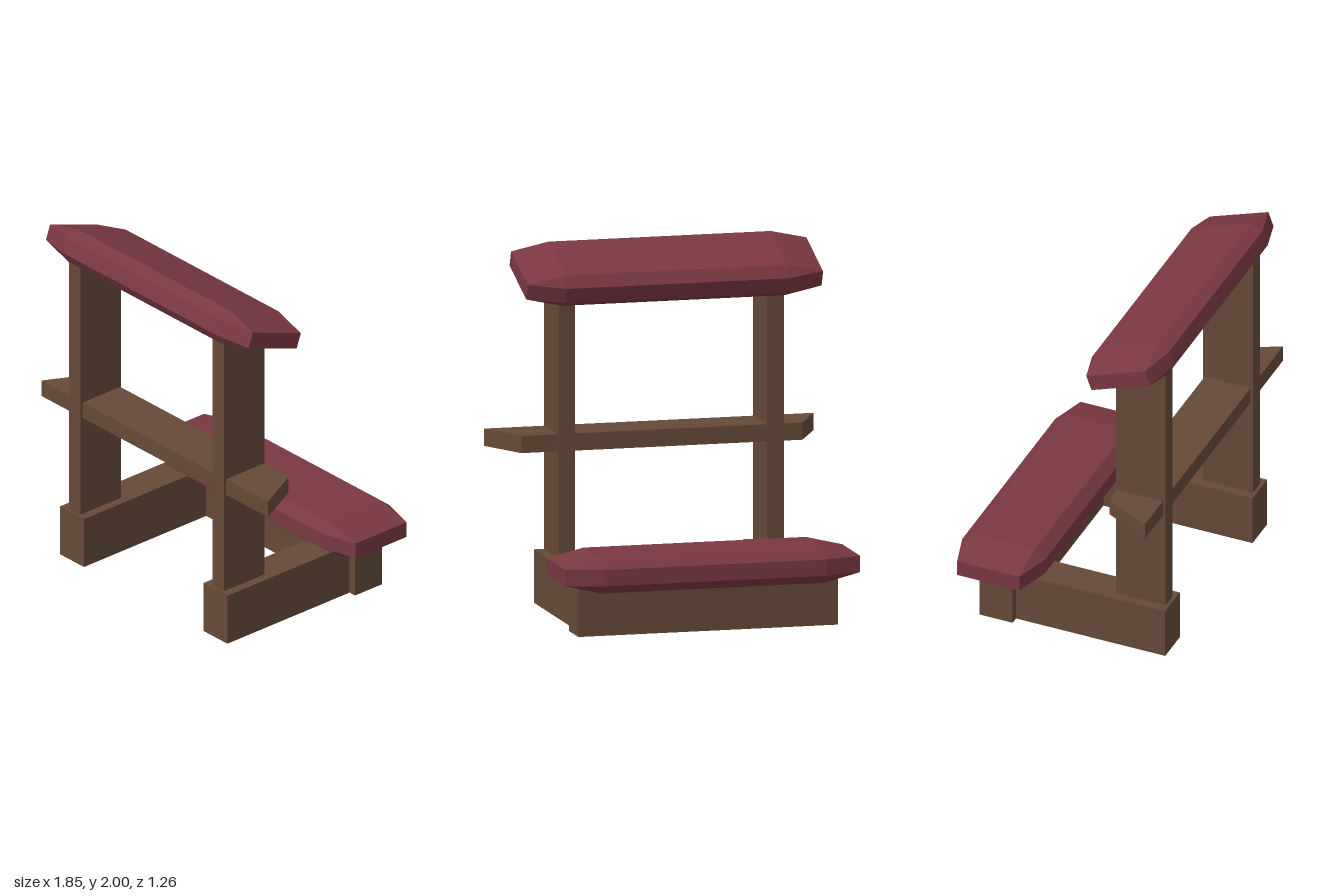
import * as THREE from 'three';
import { ConvexGeometry } from 'three/addons/geometries/ConvexGeometry.js';

const wood = new THREE.MeshStandardMaterial({ color: 0x654a37, flatShading: true });
wood.name = 'brown wood';
const cushion = new THREE.MeshStandardMaterial({ color: 0x7a3841, flatShading: true });
cushion.name = 'dark red cushion';

// Box given by its extents on each axis
function beam(name, [x0, x1], [y0, y1], [z0, z1]) {
  const mesh = new THREE.Mesh(new THREE.BoxGeometry(x1 - x0, y1 - y0, z1 - z0), wood);
  mesh.position.set((x0 + x1) / 2, (y0 + y1) / 2, (z0 + z1) / 2);
  mesh.name = name;
  return mesh;
}

// Box with every edge chamfered, with a longer taper towards its ends
function pad(name, y, z, tilt) {
  const half = [0.83, 0.095, 0.245];
  const core = [0.625, 0.045, 0.185];
  const points = [];
  for (let axis = 0; axis < 3; axis++)
    for (const sx of [-1, 1]) for (const sy of [-1, 1]) for (const sz of [-1, 1]) {
      const c = core.slice();
      c[axis] = half[axis];
      points.push(new THREE.Vector3(sx * c[0], sy * c[1], sz * c[2]));
    }
  const mesh = new THREE.Mesh(new ConvexGeometry(points), cushion);
  mesh.position.set(-0.05, y, z);
  mesh.rotation.x = tilt;
  mesh.name = name;
  return mesh;
}

export function createModel() {
  const group = new THREE.Group();
  group.name = 'kneelingBench';

  // Feet and upright posts, one pair on each side of the frame's centre
  for (const [side, x] of [['right', -0.637], ['left', 0.537]]) {
    group.add(beam(side + 'Foot', [x - 0.098, x + 0.098], [0, 0.295], [-0.285, 0.6]));
    group.add(beam(side + 'Post', [x - 0.047, x + 0.047], [0.295, 1.825], [0.285, 0.58]));
  }

  // Board under the kneeling pad
  group.add(beam('kneelerBoard', [-0.78, 0.68], [0, 0.295], [-0.48, -0.285]));

  // Shelf through the posts, wider at the front
  const shelf = beam('shelf', [-0.927, 0.927], [0.885, 0.98], [0.293, 0.565]);
  const p = shelf.geometry.attributes.position;
  for (let i = 0; i < p.count; i++) if (p.getZ(i) < 0) p.setX(i, Math.sign(p.getX(i)) * 0.79);
  shelf.geometry.computeVertexNormals();
  group.add(shelf);

  // Flat kneeling pad and tilted arm rest
  group.add(pad('kneelingPad', 0.345, -0.385, 0));
  group.add(pad('armRest', 1.848, 0.385, -THREE.MathUtils.degToRad(20)));
  return group;
}
